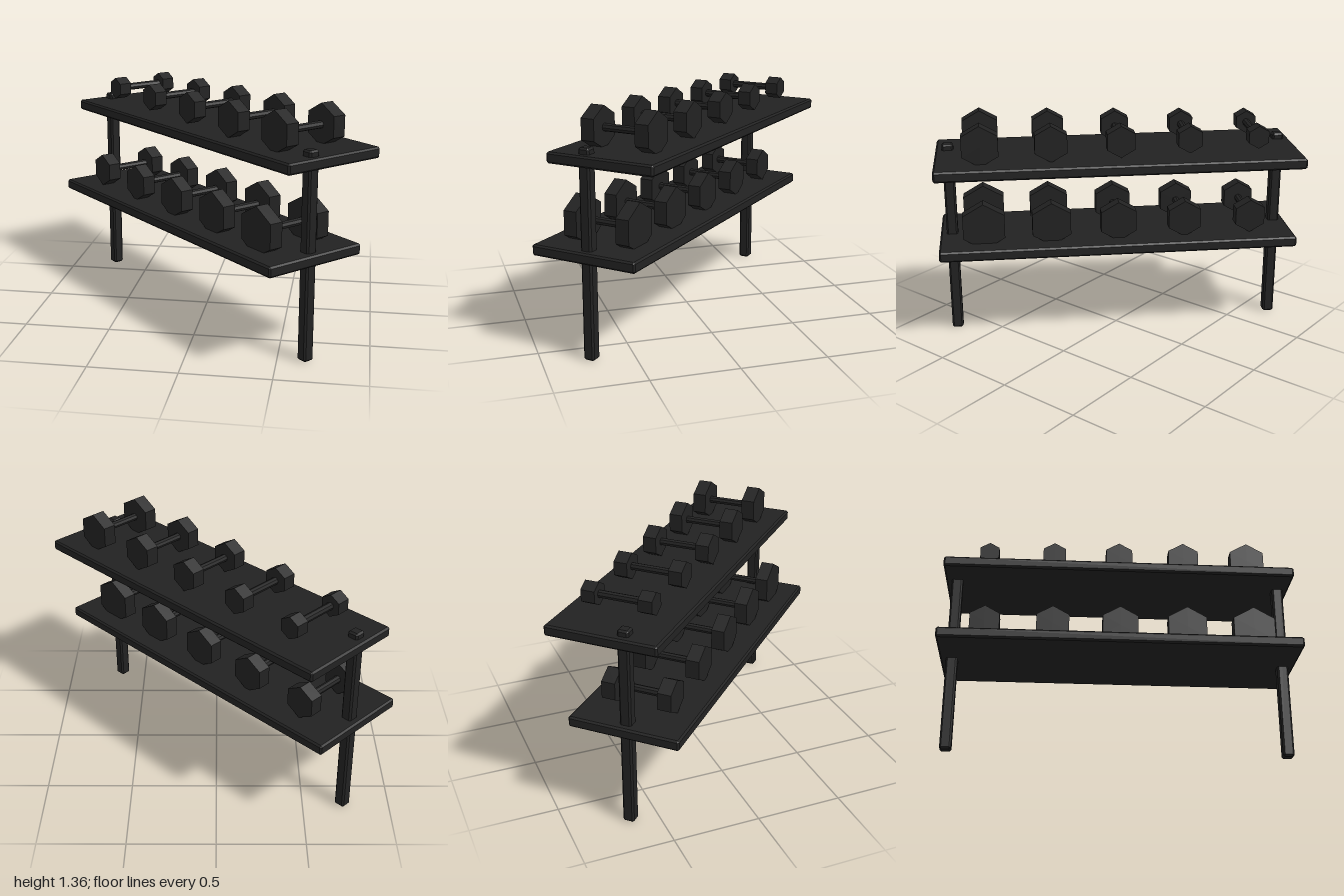
import * as THREE from 'three';
import { ConvexGeometry } from 'three/addons/geometries/ConvexGeometry.js';

const blackSteel = new THREE.MeshStandardMaterial({ color: 0x222222 });
blackSteel.name = 'blackSteel';

// Box with every edge and corner chamfered by c
function chamferBox(w, h, d, c) {
  const points = [];
  const [x, y, z] = [w / 2, h / 2, d / 2];
  for (const sx of [-1, 1]) for (const sy of [-1, 1]) for (const sz of [-1, 1]) {
    points.push(
      new THREE.Vector3(sx * x, sy * (y - c), sz * (z - c)),
      new THREE.Vector3(sx * (x - c), sy * y, sz * (z - c)),
      new THREE.Vector3(sx * (x - c), sy * (y - c), sz * z)
    );
  }
  return new ConvexGeometry(points);
}

// Faceted prism lying along z, with a corner pointing up
function prism(radius, length, sides) {
  const geometry = new THREE.CylinderGeometry(radius, radius, length, sides).rotateX(Math.PI / 2).toNonIndexed();
  geometry.computeVertexNormals();
  return geometry;
}

function addMesh(parent, name, geometry, x, y, z) {
  const mesh = new THREE.Mesh(geometry, blackSteel);
  mesh.name = name;
  mesh.position.set(x, y, z);
  parent.add(mesh);
}

// Hexagonal dumbbell centred on its handle
function makeDumbbell(radius) {
  const dumbbell = new THREE.Group();
  dumbbell.name = 'dumbbell';
  addMesh(dumbbell, 'handle', prism(0.022, 0.3, 8), 0, 0, 0);
  for (const side of [-1, 1]) addMesh(dumbbell, 'hexHead', prism(radius, 0.08, 6), 0, 0, side * 0.163);
  return dumbbell;
}

export function createModel() {
  const model = new THREE.Group();
  model.name = 'dumbbellRack';

  // The rack stands diagonally
  const rack = new THREE.Group();
  rack.name = 'rack';
  rack.rotation.y = -Math.PI / 4;
  model.add(rack);

  // Posts
  for (const side of [-1, 1]) {
    addMesh(rack, 'post', chamferBox(0.066, 1.175, 0.066, 0.01), side * 0.978, 0.5875, 0.0566);
  }

  // Shelves, the upper one set further back, each with five dumbbells of growing size
  const tiers = [
    { name: 'lowerShelf', y: 0.59, z: 0.0566, handleY: 0.721, first: 0.1, step: 0.01 },
    { name: 'upperShelf', y: 1.11, z: -0.0566, handleY: 1.242, first: 0.066, step: 0.013 }
  ];
  for (const tier of tiers) {
    addMesh(rack, tier.name, chamferBox(2.096, 0.062, 0.64, 0.01), 0, tier.y, tier.z);
    for (let i = 0; i < 5; i++) {
      const dumbbell = makeDumbbell(tier.first + i * tier.step);
      dumbbell.position.set((i - 2) * 0.394, tier.handleY, tier.z);
      rack.add(dumbbell);
    }
  }
  return model;
}
